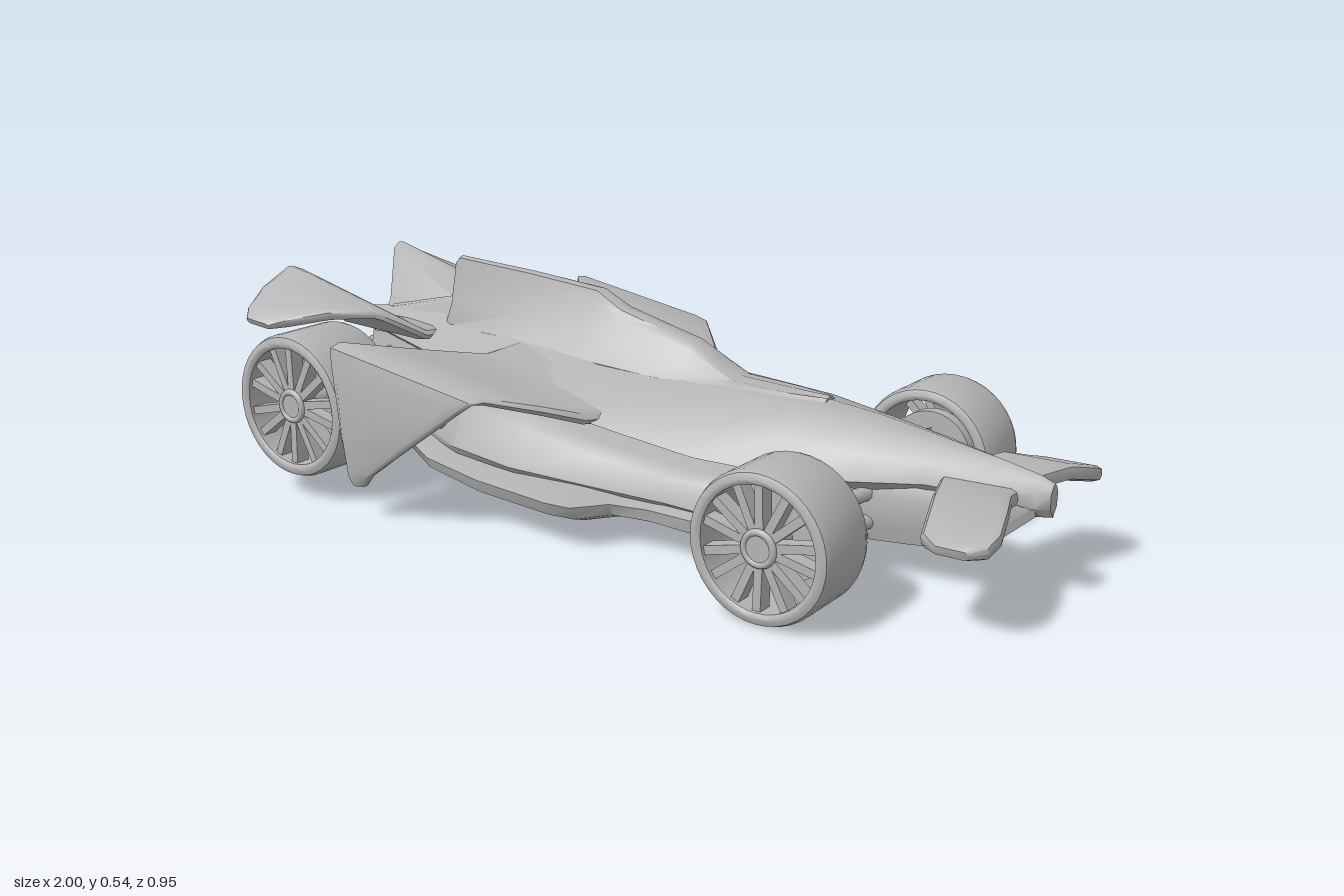
import * as THREE from 'three';
import { toCreasedNormals } from 'three/addons/utils/BufferGeometryUtils.js';

const grey = new THREE.MeshStandardMaterial({ color: 0xb4b4b4 });
grey.name = 'plain grey';

function add(parent, name, geometry) {
  const mesh = new THREE.Mesh(geometry, grey);
  mesh.name = name;
  parent.add(mesh);
  return mesh;
}

// Closed skin through equal-length rings of [x, y, z], capped at both ends and wound outwards
function loft(rings) {
  const n = rings[0].length;
  const pos = rings.flat(2);
  const idx = [];
  for (let r = 0; r < rings.length - 1; r++) {
    for (let i = 0; i < n; i++) {
      const a = r * n + i, b = r * n + (i + 1) % n;
      idx.push(a, b, b + n, a, b + n, a + n);
    }
  }
  [[0, false], [rings.length - 1, true]].forEach(([r, end]) => {
    const c = pos.length / 3;
    for (let k = 0; k < 3; k++) pos.push(rings[r].reduce((s, p) => s + p[k], 0) / n);
    for (let i = 0; i < n; i++) {
      const a = r * n + i, b = r * n + (i + 1) % n;
      idx.push(...(end ? [c, a, b] : [c, b, a]));
    }
  });
  const v = (i) => new THREE.Vector3().fromArray(pos, i * 3);
  let volume = 0;
  for (let i = 0; i < idx.length; i += 3) volume += v(idx[i]).dot(v(idx[i + 1]).cross(v(idx[i + 2])));
  if (volume < 0) idx.reverse();
  const g = new THREE.BufferGeometry();
  g.setAttribute('position', new THREE.Float32BufferAttribute(pos, 3));
  g.setIndex(idx);
  return toCreasedNormals(g, 0.78);
}

// Symmetrical hull: each station is [x, [z, y]...] from the top centre to the bottom centre
function hull(stations) {
  return loft(stations.map(([x, ...half]) => [
    ...half.map(([z, y]) => [x, y, z]),
    ...half.slice(1, -1).reverse().map(([z, y]) => [x, y, -z]),
  ]));
}

// Box-like hull with bevelled sides: [x, top y, bottom y, top half width, bottom half width]
function tub(stations) {
  return hull(stations.map(([x, t, b, wt, wb]) => [
    x, [0, t], [wt * 0.85, t], [wt, t + (b - t) * 0.2], [wb, b + (t - b) * 0.25], [wb * 0.88, b], [0, b],
  ]));
}

// Wing: each station is [front xyz, rear xyz, thickness, tilt of the thickness direction]
function foil(stations, side) {
  return loft(stations.map(([f, r, t, tilt = 0]) => {
    const at = (k, h) => [
      f[0] + (r[0] - f[0]) * k,
      f[1] + (r[1] - f[1]) * k + h * t * Math.cos(tilt),
      side * (f[2] + (r[2] - f[2]) * k + h * t * Math.sin(tilt)),
    ];
    return [at(0, 0), at(0.02, 0.35), at(0.1, 0.5), at(0.95, 0.5), at(1, 0.25),
      at(1, -0.25), at(0.95, -0.5), at(0.1, -0.5), at(0.02, -0.35)];
  }));
}

function rod(parent, name, a, b, radius) {
  const curve = new THREE.LineCurve3(new THREE.Vector3(...a), new THREE.Vector3(...b));
  return add(parent, name, new THREE.TubeGeometry(curve, 1, radius, 10));
}

// Wheel centred on its own origin with the outer face towards +z
function wheel(radius, width) {
  const g = new THREE.Group();
  const h = width / 2, ri = radius * 0.82;
  const profile = [
    [ri, -h + 0.006], [ri + 0.008, -h], [radius - 0.018, -h], [radius - 0.005, -h + 0.006], [radius, -h + 0.02],
    [radius, h - 0.02], [radius - 0.005, h - 0.006], [radius - 0.018, h], [ri + 0.008, h], [ri, h - 0.006], [ri, -h + 0.006],
  ].map(([r, y]) => new THREE.Vector2(r, y));
  add(g, 'tyre', toCreasedNormals(new THREE.LatheGeometry(profile, 40).rotateX(Math.PI / 2), 0.7));
  add(g, 'hub', new THREE.CylinderGeometry(0.028, 0.036, 0.05, 20).rotateX(Math.PI / 2)).position.z = h - 0.035;
  add(g, 'hubRing', new THREE.TorusGeometry(0.034, 0.008, 8, 24)).position.z = h - 0.014;
  add(g, 'brakeDisc', new THREE.CylinderGeometry(ri * 0.75, ri * 0.75, 0.03, 28).rotateX(Math.PI / 2)).position.z = -h * 0.35;
  add(g, 'axle', new THREE.CylinderGeometry(0.025, 0.025, width * 0.9, 14).rotateX(Math.PI / 2)).position.z = -0.012;
  // Spokes in slightly splayed pairs
  for (let i = 0; i < 14; i++) {
    const spoke = add(g, 'spoke', new THREE.BoxGeometry(ri - 0.02, 0.019, 0.035).translate((ri + 0.024) / 2, 0, 0));
    spoke.position.z = h - 0.032;
    spoke.rotation.z = (Math.floor(i / 2) + (i % 2 ? 0.22 : -0.22)) * Math.PI * 2 / 7;
  }
  return g;
}

export function createModel() {
  const car = new THREE.Group();
  car.name = 'racingCar';

  // Pointed upper body that flares into shoulders
  add(car, 'upperBody', hull([
    [1.0, [0, 0.268], [0.01, 0.26], [0.018, 0.245], [0.016, 0.215], [0, 0.195]],
    [0.97, [0, 0.28], [0.015, 0.272], [0.028, 0.25], [0.03, 0.215], [0, 0.19]],
    [0.88, [0, 0.298], [0.022, 0.288], [0.042, 0.262], [0.052, 0.23], [0, 0.17]],
    [0.75, [0, 0.32], [0.032, 0.31], [0.062, 0.28], [0.075, 0.235], [0, 0.15]],
    [0.6, [0, 0.343], [0.05, 0.328], [0.1, 0.28], [0.125, 0.225], [0, 0.14]],
    [0.45, [0, 0.357], [0.065, 0.345], [0.13, 0.29], [0.175, 0.225], [0, 0.15]],
    [0.28, [0, 0.362], [0.075, 0.352], [0.17, 0.298], [0.235, 0.245], [0, 0.18]],
    [0.08, [0, 0.375], [0.08, 0.362], [0.18, 0.318], [0.245, 0.268], [0, 0.19]],
    [-0.1, [0, 0.4], [0.08, 0.378], [0.18, 0.34], [0.28, 0.305], [0, 0.2]],
    [-0.35, [0, 0.42], [0.07, 0.39], [0.13, 0.365], [0.18, 0.335], [0, 0.2]],
    [-0.6, [0, 0.41], [0.045, 0.382], [0.085, 0.355], [0.11, 0.315], [0, 0.2]],
    [-0.9, [0, 0.375], [0.012, 0.37], [0.025, 0.36], [0.03, 0.34], [0, 0.31]],
  ]));

  // Canopy that rises into the tall spine fin: x, top y, top half width, base half width, base y
  add(car, 'canopyAndFin', hull([
    [0.48, 0.362, 0.012, 0.03, 0.345], [0.4, 0.364, 0.03, 0.055, 0.345], [0.25, 0.37, 0.036, 0.075, 0.35],
    [0.19, 0.405, 0.036, 0.08, 0.352], [0.13, 0.437, 0.036, 0.085, 0.355], [0.04, 0.458, 0.035, 0.095, 0.36],
    [-0.07, 0.485, 0.032, 0.105, 0.368], [-0.14, 0.52, 0.026, 0.1, 0.37], [-0.35, 0.535, 0.022, 0.085, 0.382],
    [-0.575, 0.545, 0.018, 0.055, 0.376], [-0.59, 0.53, 0.014, 0.05, 0.374],
    [-0.6, 0.44, 0.012, 0.045, 0.37], [-0.82, 0.388, 0.008, 0.02, 0.36],
  ].map(([x, y, wt, wb, yb]) => [
    x, [0, y], [wt * 0.65, y - 0.005], [wt, y - (y - yb) * 0.2], [wt + (wb - wt) * 0.4, yb + (y - yb) * 0.35],
    [wb, yb], [wb * 0.9, yb - 0.03], [0, yb - 0.03],
  ])));

  // Keel under the nose
  add(car, 'noseKeel', tub([
    [0.97, 0.225, 0.195, 0.025, 0.02], [0.88, 0.225, 0.115, 0.06, 0.045], [0.83, 0.225, 0.1, 0.068, 0.055],
    [0.7, 0.22, 0.088, 0.075, 0.065], [0.5, 0.22, 0.075, 0.085, 0.085], [0.3, 0.22, 0.07, 0.1, 0.1],
  ]));

  // Wide floor with waisted edges
  add(car, 'floor', tub([
    [0.62, 0.1, 0.082, 0.07, 0.065], [0.52, 0.11, 0.075, 0.14, 0.13], [0.44, 0.13, 0.068, 0.255, 0.24],
    [0.37, 0.13, 0.066, 0.275, 0.26], [0.28, 0.12, 0.065, 0.255, 0.25],
    [0.17, 0.115, 0.065, 0.245, 0.24], [0.08, 0.115, 0.065, 0.265, 0.255], [0.03, 0.12, 0.065, 0.345, 0.33],
    [-0.03, 0.125, 0.067, 0.36, 0.345], [-0.25, 0.125, 0.07, 0.335, 0.325], [-0.45, 0.125, 0.078, 0.285, 0.275],
    [-0.57, 0.13, 0.088, 0.22, 0.21], [-0.82, 0.155, 0.12, 0.13, 0.12],
  ]));

  // Side pods between floor and shoulders
  add(car, 'sidePods', tub([
    [0.5, 0.175, 0.1, 0.08, 0.09], [0.44, 0.19, 0.1, 0.16, 0.19], [0.36, 0.2, 0.1, 0.225, 0.24], [0.2, 0.195, 0.1, 0.215, 0.23],
    [0.0, 0.215, 0.1, 0.225, 0.25], [-0.2, 0.26, 0.1, 0.24, 0.28], [-0.4, 0.28, 0.1, 0.2, 0.25],
    [-0.58, 0.29, 0.1, 0.12, 0.16],
  ]));

  // Tail housing and exhaust
  add(car, 'tailHousing', tub([
    [-0.5, 0.34, 0.1, 0.13, 0.15], [-0.7, 0.335, 0.12, 0.08, 0.1], [-0.86, 0.32, 0.16, 0.045, 0.05],
  ]));
  add(car, 'exhaust', new THREE.CylinderGeometry(0.055, 0.062, 0.1, 24).rotateZ(Math.PI / 2)).position.set(-0.848, 0.235, 0);
  add(car, 'exhaustLip', new THREE.TorusGeometry(0.05, 0.012, 8, 24).rotateY(Math.PI / 2)).position.set(-0.892, 0.235, 0);

  for (const s of [1, -1]) {
    const label = s > 0 ? 'left' : 'right';

    // Swept shoulder wing that folds down into a pointed end plate
    add(car, label + 'ShoulderWing', foil([
      [[0.1, 0.32, 0.08], [-0.33, 0.365, 0.08], 0.04],
      [[0.05, 0.285, 0.2], [-0.36, 0.35, 0.18], 0.04],
      [[0.02, 0.29, 0.27], [-0.425, 0.37, 0.27], 0.035],
      [[-0.04, 0.315, 0.34], [-0.485, 0.388, 0.35], 0.03],
      [[-0.13, 0.344, 0.435], [-0.56, 0.41, 0.44], 0.026, 0.3],
      [[-0.145, 0.34, 0.455], [-0.57, 0.402, 0.457], 0.026, 1.0],
      [[-0.17, 0.322, 0.461], [-0.565, 0.37, 0.461], 0.027, 1.5],
      [[-0.34, 0.2, 0.463], [-0.545, 0.2, 0.461], 0.027, 1.57],
      [[-0.46, 0.115, 0.458], [-0.53, 0.105, 0.456], 0.025, 1.57],
      [[-0.485, 0.085, 0.453], [-0.52, 0.08, 0.453], 0.014, 1.57],
    ], s));

    // Gull-shaped rear wing
    add(car, label + 'RearWing', foil([
      [[-0.58, 0.352, 0.01], [-0.87, 0.348, 0.01], 0.03],
      [[-0.61, 0.355, 0.1], [-0.92, 0.362, 0.09], 0.03, -0.3],
      [[-0.67, 0.408, 0.182], [-0.985, 0.482, 0.18], 0.03, -0.5],
      [[-0.69, 0.414, 0.2], [-0.99, 0.492, 0.2], 0.03],
      [[-0.77, 0.412, 0.27], [-1.0, 0.452, 0.275], 0.03, 0.45],
      [[-0.85, 0.396, 0.34], [-0.99, 0.41, 0.335], 0.028, 0.5],
      [[-0.885, 0.388, 0.365], [-0.965, 0.395, 0.365], 0.016, 0.5],
    ], s));

    // Drooping nose wing
    add(car, label + 'NoseWing', foil([
      [[0.935, 0.228, 0.01], [0.76, 0.23, 0.01], 0.04],
      [[0.945, 0.238, 0.08], [0.785, 0.24, 0.08], 0.038],
      [[0.975, 0.24, 0.16], [0.81, 0.238, 0.16], 0.038, 0.1],
      [[0.998, 0.22, 0.24], [0.835, 0.214, 0.24], 0.036, 0.3],
      [[0.992, 0.206, 0.283], [0.85, 0.203, 0.285], 0.034, 0.3],
      [[0.96, 0.2, 0.308], [0.89, 0.2, 0.31], 0.02, 0.3],
    ], s));

    // Suspension arms
    for (const y of [0.115, 0.18]) {
      for (const x of [0.5, 0.62]) rod(car, label + 'FrontArm', [x, y + 0.01, s * 0.06], [0.565, y, s * 0.29], 0.017);
    }
    rod(car, label + 'FrontUpright', [0.57, 0.09, s * 0.275], [0.57, 0.24, s * 0.275], 0.018);
    for (const y of [0.18, 0.28]) {
      rod(car, label + 'RearArm', [-0.38, y, s * 0.14], [-0.66, y, s * 0.28], 0.022);
      rod(car, label + 'RearArm', [-0.78, y, s * 0.05], [-0.74, y, s * 0.28], 0.016);
    }
    rod(car, label + 'RearAxle', [-0.735, 0.23, 0], [-0.735, 0.23, s * 0.3], 0.022);

    // Wheels
    for (const [name, x, y, z, r, w] of [['FrontWheel', 0.572, 0.166, 0.356, 0.163, 0.172], ['RearWheel', -0.735, 0.232, 0.355, 0.174, 0.2]]) {
      const unit = wheel(r, w);
      unit.name = label + name;
      unit.position.set(x, y, s * z);
      if (s < 0) unit.rotation.y = Math.PI;
      car.add(unit);
    }
  }
  return car;
}
